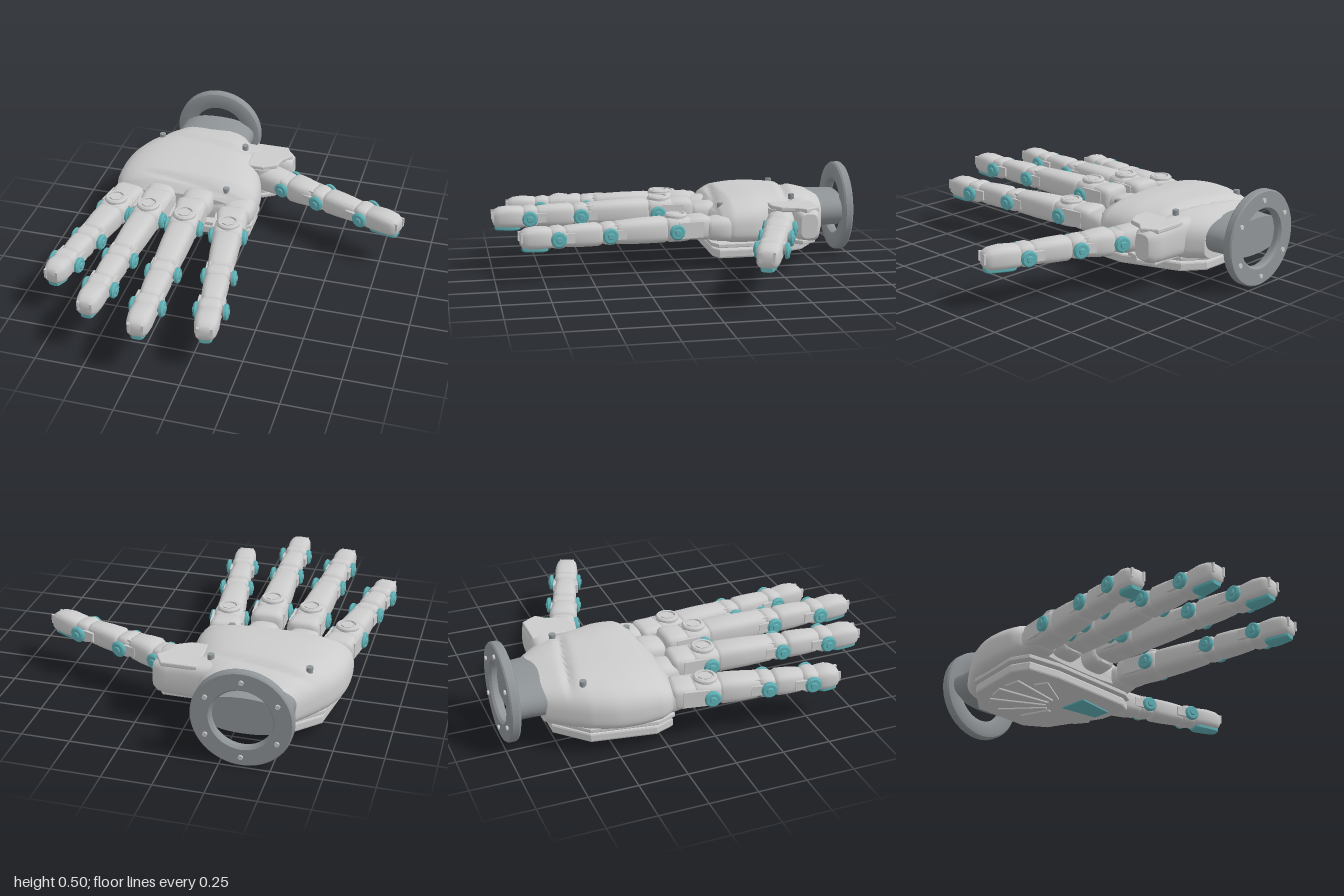
import * as THREE from 'three';
import { toCreasedNormals } from 'three/addons/utils/BufferGeometryUtils.js';

const grey = new THREE.MeshStandardMaterial({ color: 0xcccccc });
const dark = new THREE.MeshStandardMaterial({ color: 0x8f9497 });
const teal = new THREE.MeshStandardMaterial({ color: 0x5fb0b5 });

function add(parent, name, geo, mat = grey, x = 0, y = 0, z = 0) {
  const m = new THREE.Mesh(geo, mat);
  m.name = name;
  m.position.set(x, y, z);
  parent.add(m);
  return m;
}

// Skin of superellipse sections [z, halfWidth, halfHeight, cx, cy] along z, capped; rule(v) may move vertices
function loft(sections, p = 3, n = 28, rule = null) {
  const pos = [], idx = [], v = new THREE.Vector3();
  const bend = (t) => Math.sign(t) * Math.abs(t) ** (2 / p);
  const push = () => { if (rule) rule(v); pos.push(v.x, v.y, v.z); };
  for (const [z, w, h, cx = 0, cy = 0] of sections)
    for (let j = 0; j < n; j++) {
      const a = (j / n) * Math.PI * 2;
      v.set(cx + w * bend(Math.cos(a)), cy + h * bend(Math.sin(a)), z);
      push();
    }
  const last = sections.length - 1;
  for (const s of [sections[0], sections[last]]) { v.set(s[3] || 0, s[4] || 0, s[0]); push(); }
  const c0 = (last + 1) * n;
  for (let j = 0; j < n; j++) {
    const k = (j + 1) % n;
    for (let i = 0; i < last; i++) {
      const a = i * n + j, b = i * n + k;
      idx.push(a, b, b + n, a, b + n, a + n);
    }
    idx.push(c0, k, j, c0 + 1, last * n + j, last * n + k);
  }
  const g = new THREE.BufferGeometry();
  g.setAttribute('position', new THREE.Float32BufferAttribute(pos, 3));
  g.setIndex(idx);
  return toCreasedNormals(g, 0.65);
}

// Barrel with rounded ends from z0 to z1
function barrel(z0, z1, w0, h0, w1, h1, p = 3.2) {
  const r = Math.min(0.025, (z1 - z0) * 0.3), m = (z0 + z1) / 2;
  return loft([
    [z0, w0 * 0.72, h0 * 0.72], [z0 + r * 0.35, w0 * 0.9, h0 * 0.9], [z0 + r, w0, h0],
    [m, (w0 + w1) / 2 * 1.03, (h0 + h1) / 2 * 1.03],
    [z1 - r, w1, h1], [z1 - r * 0.35, w1 * 0.9, h1 * 0.9], [z1, w1 * 0.72, h1 * 0.72],
  ], p);
}

const lathe = (pts, n = 24) => toCreasedNormals(
  new THREE.LatheGeometry(pts.map(([x, y]) => new THREE.Vector2(x, y)), n), 0.6);

const discGeo = lathe([[0, -0.012], [0.04, -0.012], [0.042, 0.002], [0.034, 0.01], [0.018, 0.01], [0.014, 0.016], [0, 0.016]]);
const pinGeo = new THREE.CylinderGeometry(0.02, 0.02, 0.16, 16).rotateZ(Math.PI / 2);
const capGeo = lathe([[0, -0.04], [0.06, -0.04], [0.06, 0.012], [0.053, 0.02], [0.042, 0.02], [0.04, 0.01], [0, 0.012]]);

// Hinge across the finger: block, pin, a teal disc on each side
function hinge(parent, z, w) {
  const g = new THREE.Group();
  g.name = 'hinge';
  g.position.z = z;
  parent.add(g);
  add(g, 'hingeBlock', barrel(-0.05, 0.04, w, 0.058, w, 0.054, 4));
  add(g, 'hingePin', pinGeo, dark, 0.005);
  for (const s of [-1, 1]) {
    add(g, 'hingeDisc', discGeo, teal, s < 0 ? -w - 0.012 : w + 0.022).rotation.z = -s * Math.PI / 2;
    add(g, 'hingeCheek', new THREE.BoxGeometry(0.016, 0.05, 0.07), grey, s * w, 0, -0.055);
  }
}

// Finger along local +z: joint distances a, b, tip distance c
function finger(parent, name, [x, y, z], [tx, tz], [a, b, c], knuckle = true) {
  const f = new THREE.Group();
  f.name = name;
  f.position.set(x, y, z);
  f.rotation.y = Math.atan2(tx - x, tz - z);
  parent.add(f);
  if (knuckle) {
    add(f, 'knuckleBase', barrel(-0.18, -0.04, 0.085, 0.065, 0.075, 0.06, 4));
    for (const s of [-1, 1]) {
      add(f, 'knuckleFork', new THREE.BoxGeometry(0.022, 0.085, 0.13), grey, s * 0.075, 0, -0.06);
      add(f, 'knuckleDisc', discGeo, teal, s * 0.09, -0.005, 0.02).rotation.z = -s * Math.PI / 2;
    }
    add(f, 'knuckleBlock', barrel(-0.075, 0.075, 0.078, 0.066, 0.078, 0.066, 3.5));
    add(f, 'knuckleCap', capGeo, grey, 0, 0.062, 0);
    add(f, 'knuckleCapCentre', new THREE.CylinderGeometry(0.036, 0.036, 0.008, 6), grey, 0, 0.076, 0);
  } else {
    add(f, 'ballJoint', barrel(-0.17, 0.03, 0.078, 0.07, 0.07, 0.065, 2.6));
    hinge(f, 0.03, 0.062);
  }
  add(f, 'lowerSegment', barrel(0.055, a - 0.035, 0.074, 0.068, 0.064, 0.06));
  hinge(f, a, 0.062);
  add(f, 'middleSegment', barrel(a + 0.03, a + b - 0.035, 0.064, 0.06, 0.055, 0.055));
  hinge(f, a + b, 0.06);
  // Fingertip with pad, slots and end lugs
  const t0 = a + b + 0.015, t1 = a + b + c;
  add(f, 'fingertip', loft([
    [t0, 0.045, 0.042], [t0 + 0.02, 0.06, 0.055], [(t0 + t1) / 2, 0.062, 0.058, 0, 0.003],
    [t1 - 0.04, 0.056, 0.054, 0, 0.002], [t1 - 0.015, 0.047, 0.044], [t1 - 0.006, 0.036, 0.032],
  ], 3.2));
  add(f, 'fingerPad', barrel(t0 + 0.03, t1 - 0.015, 0.044, 0.02, 0.036, 0.016), teal, 0, -0.052, 0);
  for (const s of [-1, 1]) {
    add(f, 'tipLug', new THREE.BoxGeometry(0.012, 0.05, 0.045), grey, s * 0.034, 0.012, t1 - 0.022);
    add(f, 'segmentRib', new THREE.BoxGeometry(0.01, 0.012, 0.06), grey, s * 0.045, 0.045, a - 0.06);
  }
}

// Horizontal plate from an outline of [x, z], hanging down from y
function plate(parent, name, outline, y, thick, bevel, mat = grey) {
  const g = new THREE.ExtrudeGeometry(new THREE.Shape(outline.map(([x, z]) => new THREE.Vector2(x, z))),
    { depth: thick - 2 * bevel, bevelEnabled: bevel > 0, bevelThickness: bevel, bevelSize: bevel, bevelOffset: -bevel, bevelSegments: 2 });
  return add(parent, name, g.rotateX(Math.PI / 2), mat, 0, y - bevel, 0);
}

function createPalm(hand) {
  // Stations: left edge, right edge, top height, and their z
  const zs = [-0.81, -0.72, -0.62, -0.5, -0.38, -0.28, -0.22, -0.18];
  const edges = [[-0.575, -0.125, 0.345], [-0.64, -0.06, 0.365], [-0.705, -0.015, 0.378], [-0.75, 0.015, 0.384],
    [-0.762, 0.048, 0.383], [-0.757, 0.055, 0.37], [-0.73, 0.03, 0.335], [-0.66, -0.04, 0.29]];
  const curve = new THREE.CatmullRomCurve3(edges.map((e) => new THREE.Vector3(...e)));
  const zCurve = new THREE.CatmullRomCurve3(zs.map((z) => new THREE.Vector3(0, 0, z)));
  const sections = [];
  for (let i = 0; i <= 56; i++) {
    const e = curve.getPoint(i / 56);
    sections.push([zCurve.getPoint(i / 56).z, (e.y - e.x) / 2, e.z - 0.21, (e.x + e.y) / 2, 0.21]);
  }
  // Flatten the underside and press two slanted grooves into the back
  add(hand, 'palmShell', loft(sections, 3, 72, (v) => {
    if (v.y < 0.21) v.y = 0.21 + Math.max(-0.07, (v.y - 0.21) * 0.6);
    else if (v.y > 0.3) {
      const fade = Math.max(0, 1 - Math.abs((v.x + 0.35) / 0.28) ** 4);
      const d1 = v.z + 0.645 - (v.x + 0.35) * 0.2, d2 = v.z + 0.235 - (v.x + 0.35) * 0.12;
      v.y -= fade * (0.02 * Math.exp(-((d1 / 0.022) ** 2)) + 0.01 * Math.exp(-((d2 / 0.015) ** 2)));
    }
  }));
  for (const [x, y, z] of [[-0.6, 0.36, -0.63], [-0.11, 0.36, -0.63], [-0.11, 0.325, -0.23]])
    add(hand, 'shellScrew', new THREE.CylinderGeometry(0.017, 0.017, 0.03, 16), dark, x, y, z);

  // Palm underside plates
  const outline = [[0.03, -0.2], [0.03, -0.38], [-0.09, -0.69], [-0.2, -0.77], [-0.52, -0.77], [-0.67, -0.62], [-0.72, -0.3], [-0.68, -0.2], [-0.5, -0.17], [-0.03, -0.17]];
  const scaled = (k) => outline.map(([x, z]) => [-0.35 + (x + 0.35) * k, -0.47 + (z + 0.47) * k]);
  plate(hand, 'palmSeamPlate', scaled(1.03), 0.145, 0.022, 0.004);
  plate(hand, 'palmCore', scaled(0.9), 0.135, 0.05, 0);
  plate(hand, 'palmPlate', outline, 0.112, 0.05, 0.01);
  // Raised ridges fanning out from beside the coloured inlay
  for (let i = 0; i < 6; i++) {
    const a = 1.75 + i * 0.36, len = [0.27, 0.36, 0.4, 0.4, 0.4, 0.32][i];
    const at = (r, t) => [-0.24 + r * Math.cos(a + t), -0.4 - r * Math.sin(a + t)];
    plate(hand, 'palmRidge', [at(0.1, -0.1), at(0.1, 0.1), at(len, 0.12), at(len, -0.12)], 0.068, 0.016, 0.004);
  }
  plate(hand, 'palmInlay', [[-0.24, -0.42], [-0.03, -0.38], [-0.03, -0.28], [-0.24, -0.26]], 0.068, 0.014, 0.003, teal);
}

function createWrist(hand) {
  const X = -0.355, Y = 0.25;
  add(hand, 'wrist', loft([[-0.95, 0.215, 0.095], [-0.88, 0.213, 0.097], [-0.8, 0.222, 0.1], [-0.68, 0.235, 0.1]], 2.3, 40), dark, X, Y, 0);
  const ring = lathe([[0.15, -0.015], [0.16, -0.028], [0.243, -0.028], [0.25, -0.02], [0.25, 0.012], [0.243, 0.022],
    [0.225, 0.028], [0.175, 0.028], [0.157, 0.022], [0.15, 0.01], [0.15, -0.015]], 64);
  add(hand, 'wristRing', ring.rotateX(Math.PI / 2), dark, X, Y, -0.963);
  for (let i = 0; i < 6; i++) {
    const a = (i + 0.5) * Math.PI / 3;
    add(hand, 'ringBolt', new THREE.CylinderGeometry(0.012, 0.012, 0.018, 12).rotateX(Math.PI / 2),
      grey, X + 0.2 * Math.cos(a), Y + 0.2 * Math.sin(a), -0.991);
  }
}

function createThumbMount(hand) {
  // Horn reaching sideways from the palm, with fork plates above and below the thumb
  const horn = loft([[-0.14, 0.085, 0.1], [0, 0.07, 0.095], [0.09, 0.072, 0.09], [0.14, 0.066, 0.085], [0.168, 0.045, 0.065]], 3.5);
  add(hand, 'thumbHorn', horn.rotateY(Math.PI / 2), grey, 0, 0.25, -0.655);
  const fork = [[-0.06, -0.7], [0.12, -0.7], [0.165, -0.62], [0.12, -0.57], [0.1, -0.5], [0.03, -0.46], [-0.06, -0.46]];
  plate(hand, 'thumbForkTop', fork.map(([x, z]) => [x, z - 0.02]), 0.345, 0.025, 0.006);
  plate(hand, 'thumbForkBottom', fork, 0.175, 0.025, 0.006);
  add(hand, 'thumbRoot', new THREE.CylinderGeometry(0.07, 0.07, 0.15, 24), grey, 0.01, 0.25, -0.54);
}

export function createModel() {
  const hand = new THREE.Group();
  hand.name = 'mechanicalHand';
  createPalm(hand);
  createWrist(hand);
  createThumbMount(hand);
  finger(hand, 'littleFinger', [-0.675, 0.235, -0.03], [-0.79, 0.65], [0.31, 0.225, 0.15]);
  finger(hand, 'ringFinger', [-0.465, 0.28, 0.045], [-0.51, 0.9], [0.41, 0.255, 0.19]);
  finger(hand, 'middleFinger', [-0.25, 0.285, 0.085], [-0.215, 1], [0.44, 0.275, 0.195]);
  finger(hand, 'indexFinger', [-0.025, 0.23, 0.03], [0.09, 0.87], [0.385, 0.275, 0.19]);
  finger(hand, 'thumb', [0.15, 0.25, -0.495], [0.855, -0.24], [0.255, 0.275, 0.215], false);
  // Palm-side sockets of the fingers
  for (const [x, y, z] of [[-0.64, 0.22, -0.19], [-0.47, 0.25, -0.17], [-0.255, 0.255, -0.16], [-0.03, 0.22, -0.2]])
    add(hand, 'fingerSocket', barrel(-0.07, 0.07, 0.088, 0.07, 0.08, 0.06, 3), grey, x, y, z);
  return hand;
}
